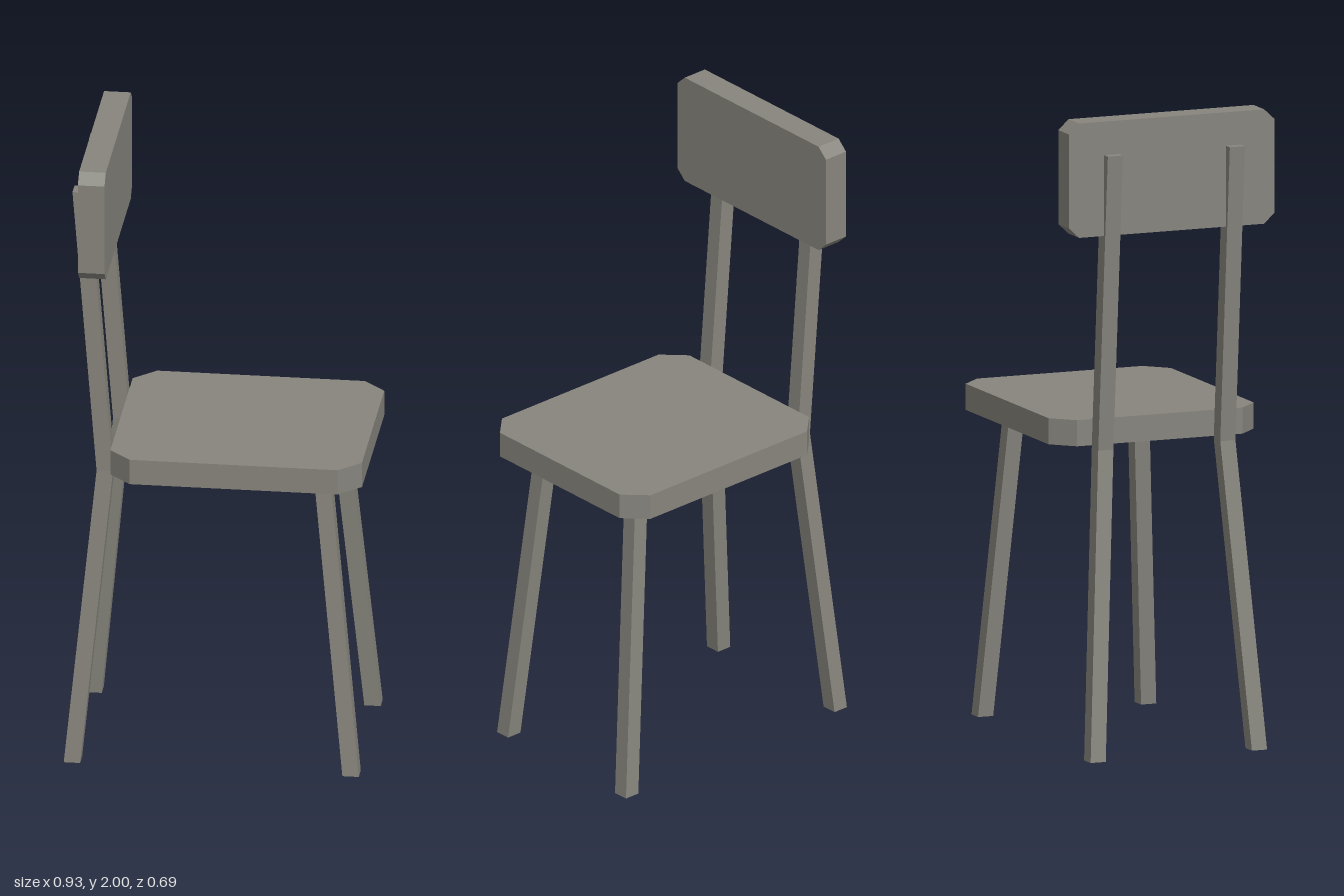
import * as THREE from 'three';

// Rectangle with its four corners cut off
function cutRectangle(w, h, cx, cy) {
  const x = w / 2, y = h / 2;
  return new THREE.Shape([
    [-x + cx, -y], [x - cx, -y], [x, -y + cy], [x, y - cy],
    [x - cx, y], [-x + cx, y], [-x, y - cy], [-x, -y + cy],
  ].map(([a, b]) => new THREE.Vector2(a, b)));
}

// Leaves a triangle soup open underneath by dropping its downward faces
function openBelow(geometry) {
  const { position, normal } = geometry.attributes;
  const kept = [];
  for (let i = 0; i < position.count; i += 3) {
    if (normal.getY(i) < -0.9) continue;
    kept.push(...position.array.slice(i * 3, i * 3 + 9));
  }
  const open = new THREE.BufferGeometry();
  open.setAttribute('position', new THREE.Float32BufferAttribute(kept, 3));
  open.computeVertexNormals();
  return open;
}

// Square bar whose centre passes through the given [x, y, z] points, bottom to top
function bentBar(points, size) {
  const n = points.length - 1;
  const box = new THREE.BoxGeometry(size, 1, size, 1, n, 1);
  const pos = box.attributes.position;
  for (let i = 0; i < pos.count; i++) {
    const [x, y, z] = points[Math.round((pos.getY(i) + 0.5) * n)];
    pos.setXYZ(i, pos.getX(i) + x, y, pos.getZ(i) + z);
  }
  return openBelow(box.toNonIndexed());
}

export function createModel() {
  const group = new THREE.Group();
  const paint = new THREE.MeshStandardMaterial({ color: 0x87857d, side: THREE.DoubleSide });
  paint.name = 'warm grey';

  const add = (name, geometry) => {
    const mesh = new THREE.Mesh(geometry, paint);
    mesh.name = name;
    group.add(mesh);
  };

  // Seat shell, hollow from below
  const seat = new THREE.ExtrudeGeometry(cutRectangle(0.783, 0.69, 0.068, 0.067),
    { depth: 0.082, bevelEnabled: false });
  seat.rotateX(-Math.PI / 2);
  seat.translate(0.0715, 0.969, 0);
  add('seat', openBelow(seat));

  // Upright backrest panel, extruded along x
  const back = new THREE.ExtrudeGeometry(cutRectangle(0.69, 0.359, 0.034, 0.032),
    { depth: 0.083, bevelEnabled: false });
  back.rotateY(Math.PI / 2);
  back.translate(-0.413, 1.8205, 0);
  add('backrest', back);

  // Splayed front legs and kinked rear legs that carry the backrest;
  // the right rear leg stands slightly further in
  for (const [label, s, inset] of [['Right', -1, 0.006], ['Left', 1, 0]]) {
    add('frontLeg' + label, bentBar([
      [0.43, 0, s * 0.274], [0.336, 0.947, s * 0.21],
    ], 0.051));
    add('rearLeg' + label, bentBar([
      [-0.437, 0, s * (0.274 - inset)],
      [-0.343, 0.96, s * (0.208 - inset)],
      [-0.418, 1.895, s * (0.208 - inset)],
    ], 0.051));
  }
  return group;
}
